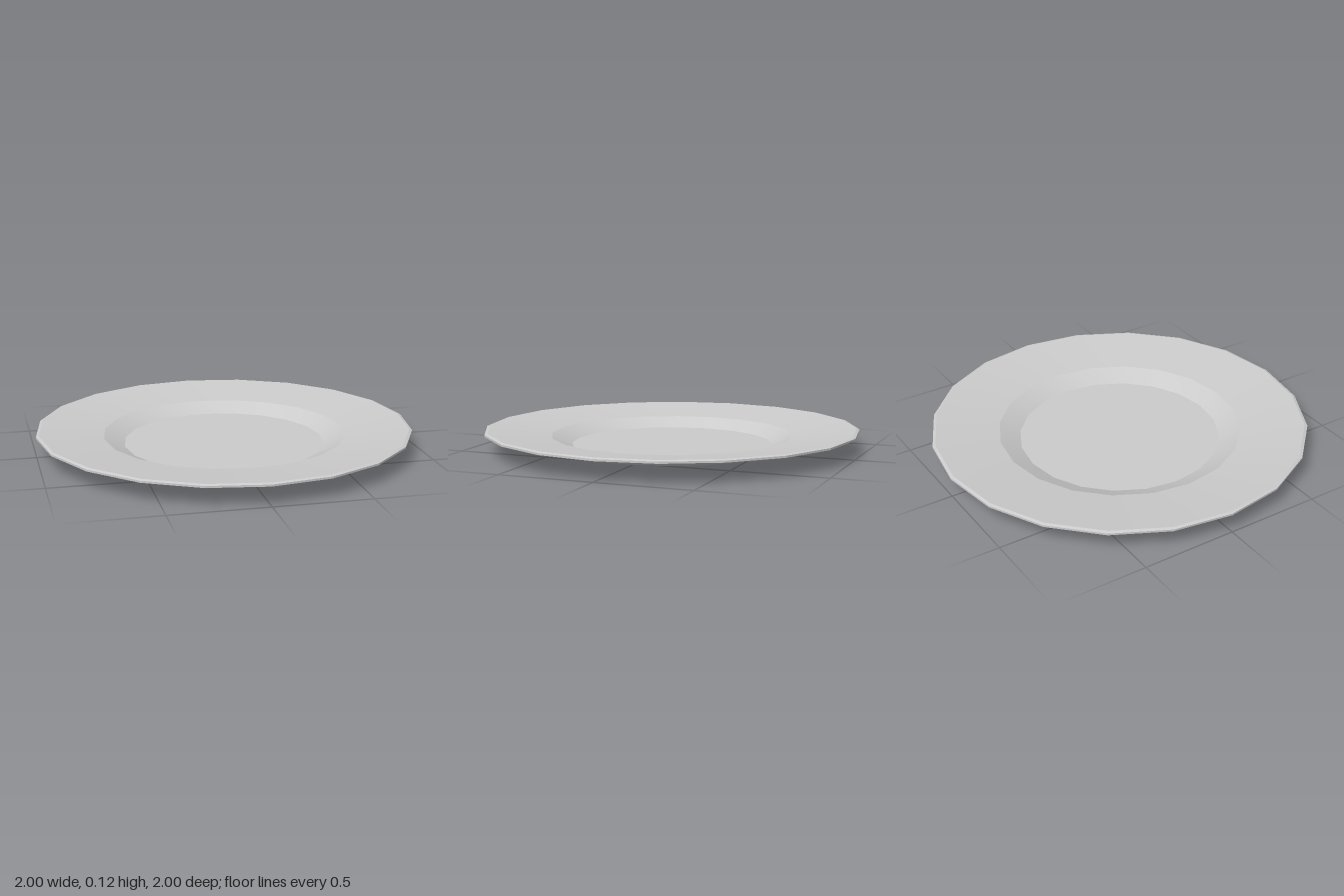
import * as THREE from 'three';
import { toCreasedNormals } from 'three/addons/utils/BufferGeometryUtils.js';

const SIDES = 20;

export function createModel() {
  const model = new THREE.Group();
  model.name = 'plate';

  // Closed section as [radius, height]: underside, rim edge, sloping rim, well, floor
  const profile = [
    [0, 0], [0.53, 0],
    [0.985, 0.094], [1, 0.1], [1, 0.11], [0.985, 0.115],
    [0.645, 0.076], [0.535, 0.027], [0, 0.027],
  ].map(([r, y]) => new THREE.Vector2(r, y));

  // Creased so the well and rim edges stay crisp while each band is smooth
  const geometry = toCreasedNormals(new THREE.LatheGeometry(profile, SIDES), 0.27);
  const dish = new THREE.Mesh(geometry, new THREE.MeshStandardMaterial({ color: 0xcccccc }));
  dish.name = 'dish';
  model.add(dish);
  return model;
}
